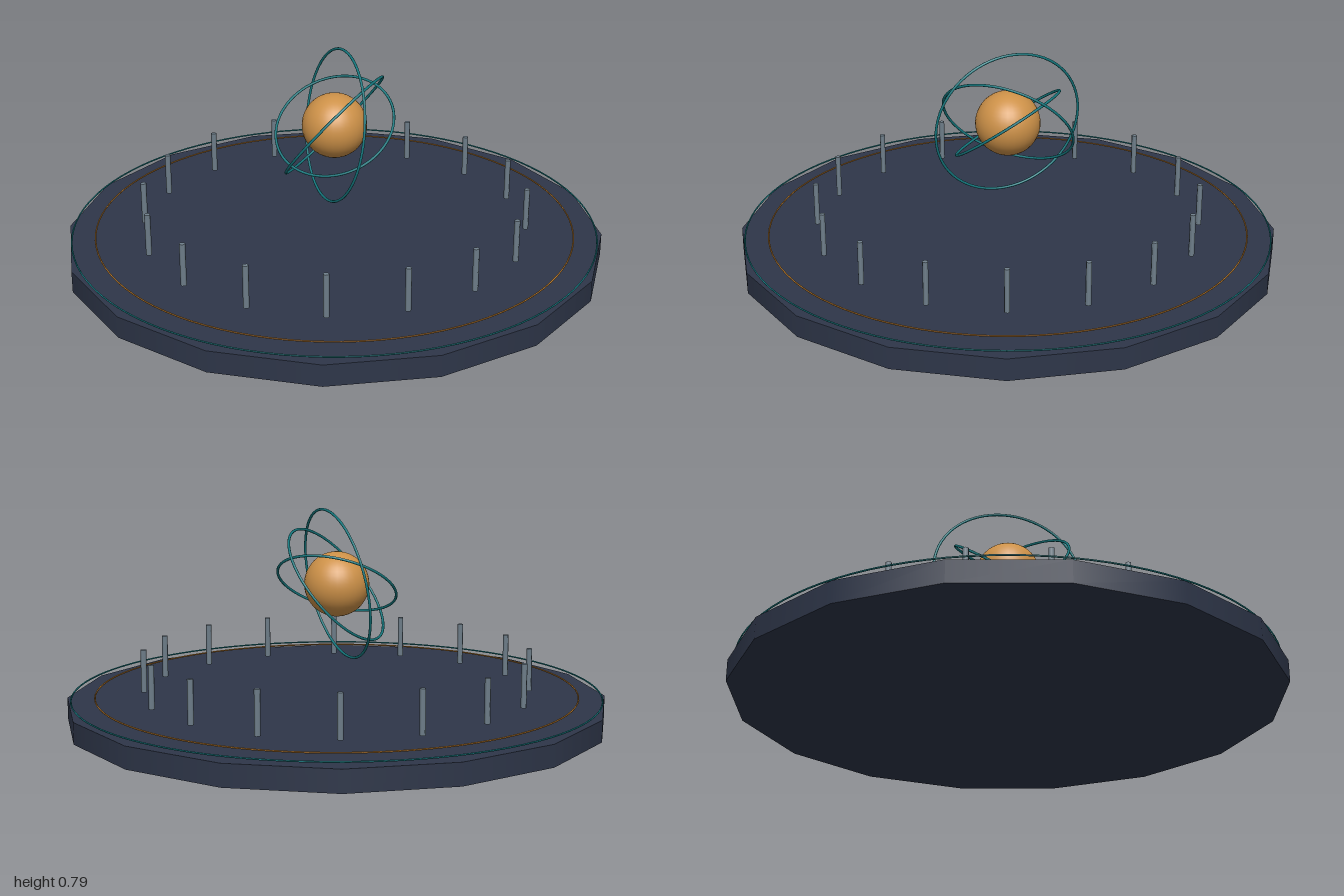
import * as THREE from 'three';

const mat = (name, color) => {
  const m = new THREE.MeshStandardMaterial({ color });
  m.name = name;
  return m;
};

export function createModel() {
  const slate = mat('slate', 0x2e3649);
  const teal = mat('teal', 0x14767c);
  const amber = mat('amber', 0xcd9148);
  const ochre = mat('ochre', 0xb0742a);
  const steel = mat('steel', 0x70808c);

  const model = new THREE.Group();
  model.name = 'orreryPlatform';
  const add = (name, geometry, material, x = 0, y = 0, z = 0) => {
    const mesh = new THREE.Mesh(geometry, material);
    mesh.name = name;
    mesh.position.set(x, y, z);
    model.add(mesh);
    return mesh;
  };

  // Sixteen-sided platform
  add('platform', new THREE.CylinderGeometry(1, 1, 0.08, 16), slate, 0, 0.04, 0);

  // Thin rings hovering just above the floor
  const floorRing = (name, radius, y, material) =>
    add(name, new THREE.TorusGeometry(radius, 0.003, 6, 96).rotateX(Math.PI / 2), material, 0, y, 0);
  floorRing('outerFloorRing', 0.977, 0.097, teal);
  floorRing('innerFloorRing', 0.89, 0.103, ochre);

  // Circle of posts
  const post = new THREE.CylinderGeometry(0.011, 0.011, 0.16, 6);
  for (let i = 0; i < 16; i++) {
    const a = (i / 16) * Math.PI * 2;
    add('post', post, steel, Math.cos(a) * 0.715, 0.18, Math.sin(a) * 0.715);
  }

  // Floating core
  const coreY = 0.505;
  add('core', new THREE.SphereGeometry(0.12, 32, 24), amber, 0, coreY, 0);

  // Orbit rings, each set by its radius and the normal of its plane
  const tiltA = 0.61, tiltC = 0.885;
  const orbits = [
    [0.223, new THREE.Vector3(0, Math.cos(tiltA), Math.sin(tiltA))],
    [0.28, new THREE.Vector3(0.7, -0.17, -0.7)],
    [0.25, new THREE.Vector3(-Math.sin(tiltC), Math.cos(tiltC), 0)],
  ];
  const forward = new THREE.Vector3(0, 0, 1);
  for (const [radius, normal] of orbits) {
    const ring = add('orbitRing', new THREE.TorusGeometry(radius, 0.005, 8, 72), teal, 0, coreY, 0);
    ring.quaternion.setFromUnitVectors(forward, normal.normalize());
  }
  return model;
}
